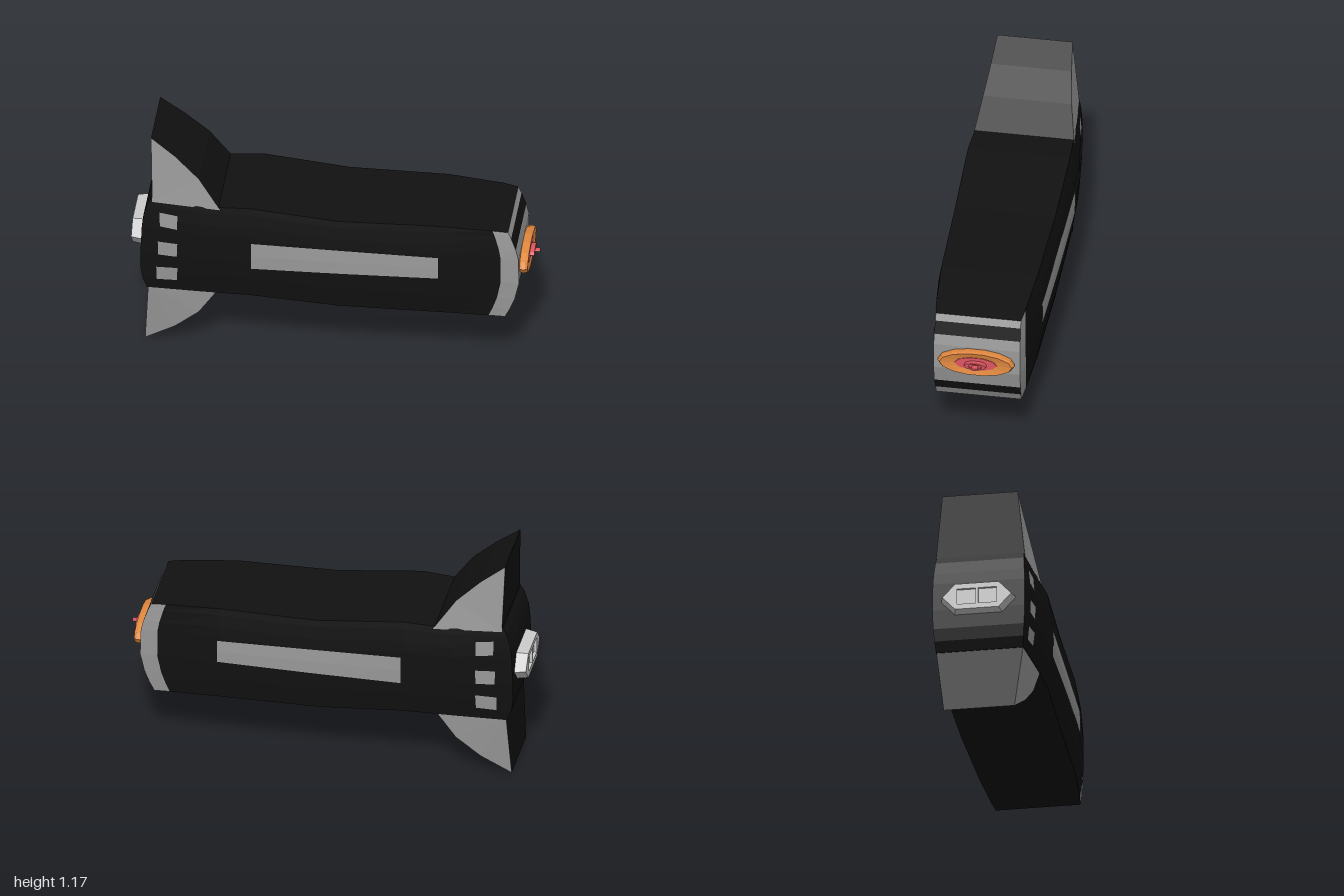
import * as THREE from 'three';

const mat = (color) => new THREE.MeshStandardMaterial({ color, flatShading: true });
const BLACK = mat(0x111111), GREY = mat(0x999999), LIGHT = mat(0xcccccc);
const ORANGE = mat(0xe0883f), RED = mat(0xdc5560);

// Collects quads and triangles into one flat-shaded mesh
class Faces {
  constructor() { this.p = []; }
  tri(a, b, c) { this.p.push(...a, ...b, ...c); }
  quad(a, b, c, d) { this.tri(a, b, c); this.tri(a, c, d); }
  // A panel on the +z side together with its mirror on the -z side
  sides(a, b, c, d) {
    this.quad(a, b, c, d);
    this.quad(...[d, c, b, a].map(flip));
  }
  // The strip joining both sides along the edge p-q
  rim(p, q) { this.quad(p, flip(p), flip(q), q); }
  mesh(name, material) {
    const g = new THREE.BufferGeometry();
    g.setAttribute('position', new THREE.Float32BufferAttribute(this.p, 3));
    g.computeVertexNormals();
    const m = new THREE.Mesh(g, material);
    m.name = name;
    return m;
  }
}
const flip = ([x, y, z]) => [x, y, -z];
const lerp = THREE.MathUtils.lerp;

// Hull stations: bottom x/y, top x/y, end bulge and its power, half width, side bow
const station = (xb, yb, xt, yt, bulge, pow, w, bow) => ({ xb, yb, xt, yt, bulge, pow, w, bow });
const STATIONS = [
  station(-0.915, 0.32, -0.895, 0.84, -0.04, 4, 0.23, 0.06),
  station(-0.65, 0.33, -0.65, 0.823, 0, 2, 0.265, 0.09),
  station(-0.4, 0.335, -0.4, 0.838, 0, 2, 0.278, 0.09),
  station(0.03, 0.305, 0.03, 0.795, 0, 2, 0.273, 0.09),
  station(0.52, 0.30, 0.52, 0.798, 0, 2, 0.262, 0.09),
  station(0.77, 0.288, 0.79, 0.78, 0.055, 2, 0.23, 0.04),
  station(0.85, 0.28, 0.865, 0.77, 0.066, 2, 0.215, 0.02),
];
const ROWS = [0, 0.1, 0.22, 0.41, 0.69, 0.8, 0.93, 1];

function hullPoint(s, v) {
  const e = Math.abs(2 * v - 1);
  return [
    lerp(s.xb, s.xt, v) + s.bulge * (1 - e ** s.pow),
    lerp(s.yb, s.yt, v),
    s.w * (1 - s.bow * e * e),
  ];
}

// Half width of the hull at a given x and y
function hullZ(x, y) {
  let v = 0.5, z = 0;
  for (let k = 0; k < 3; k++) {
    const col = STATIONS.map((s) => hullPoint(s, v));
    let i = 0;
    while (i < col.length - 2 && col[i + 1][0] < x) i++;
    const t = (x - col[i][0]) / (col[i + 1][0] - col[i][0]);
    z = lerp(col[i][2], col[i + 1][2], t);
    const yb = lerp(STATIONS[i].yb, STATIONS[i + 1].yb, t);
    const yt = lerp(STATIONS[i].yt, STATIONS[i + 1].yt, t);
    v = (y - yb) / (yt - yb);
  }
  return z;
}

function addHull(group) {
  const grid = STATIONS.map((s) => ROWS.map((v) => hullPoint(s, v)));
  const black = new Faces(), cheeks = new Faces(), bands = new Faces();
  const n = STATIONS.length - 1, m = ROWS.length - 1;
  for (let i = 0; i < n; i++) {
    const side = i === n - 1 ? cheeks : black;
    for (let j = 0; j < m; j++) side.sides(grid[i][j], grid[i + 1][j], grid[i + 1][j + 1], grid[i][j + 1]);
    black.rim(grid[i][0], grid[i + 1][0]);
    black.rim(grid[i + 1][m], grid[i][m]);
  }
  // Striped nose and plain tail
  for (let j = 0; j < m; j++) {
    (j === 1 || j === 5 ? black : bands).rim(grid[n][j], grid[n][j + 1]);
    black.rim(grid[0][j + 1], grid[0][j]);
  }
  group.add(black.mesh('hull', BLACK), cheeks.mesh('noseSides', GREY), bands.mesh('noseBands', GREY));
}

// Thin panel laid on both hull sides; corners ccw from lower rear
function addPanel(group, name, [a, b, c, d], nx, ny) {
  const f = new Faces();
  const at = (u, v) => {
    const x = lerp(lerp(a[0], b[0], u), lerp(d[0], c[0], u), v);
    const y = lerp(lerp(a[1], b[1], u), lerp(d[1], c[1], u), v);
    return [x, y, hullZ(x, y) + 0.003];
  };
  for (let i = 0; i < nx; i++) {
    for (let j = 0; j < ny; j++) {
      const [u, v, s, t] = [i / nx, j / ny, (i + 1) / nx, (j + 1) / ny];
      f.sides(at(u, v), at(s, v), at(s, t), at(u, t));
    }
  }
  group.add(f.mesh(name, GREY));
}

// Broad fin: grey sides fanned from the rear root, black edges
function addFin(group, name, pts) {
  const side = new Faces(), edge = new Faces();
  pts.forEach((p, i) => {
    const q = pts[(i + 1) % pts.length];
    edge.rim(p, q);
    if (i > 0 && i < pts.length - 1) {
      side.tri(pts[0], p, q);
      side.tri(flip(pts[0]), flip(q), flip(p));
    }
  });
  const fin = new THREE.Group();
  fin.name = name;
  fin.add(side.mesh(name + 'Sides', GREY), edge.mesh(name + 'Edges', BLACK));
  group.add(fin);
}

// Flattened turned part along the x axis; profile is [radius, x]
function addTurned(group, name, profile, segments, material) {
  const g = new THREE.LatheGeometry(profile.map(([r, x]) => new THREE.Vector2(r, x)), segments);
  g.rotateZ(-Math.PI / 2).scale(1, 0.36, 1);
  const mesh = new THREE.Mesh(g, material);
  mesh.name = name;
  mesh.position.y = 0.546;
  group.add(mesh);
}

// Hexagonal tail nozzle with two recessed openings
function addNozzle(group) {
  const poly = (pts) => pts.map(([x, y]) => new THREE.Vector2(x, y));
  const shape = new THREE.Shape(poly([[0.19, 0], [0.12, 0.075], [-0.12, 0.075], [-0.19, 0], [-0.12, -0.075], [0.12, -0.075]]));
  for (const c of [-0.058, 0.058]) {
    shape.holes.push(new THREE.Path(poly([[c - 0.05, -0.045], [c - 0.05, 0.045], [c + 0.05, 0.045], [c + 0.05, -0.045]])));
  }
  const g = new THREE.ExtrudeGeometry(shape, { depth: 0.07, bevelEnabled: false });
  // Taper towards the rear
  const p = g.attributes.position;
  for (let i = 0; i < p.count; i++) {
    const k = 1 - 1.4 * p.getZ(i);
    p.setXY(i, p.getX(i) * k, p.getY(i) * k);
  }
  g.rotateY(-Math.PI / 2);
  const nozzle = new THREE.Mesh(g, LIGHT);
  nozzle.name = 'tailNozzle';
  nozzle.position.set(-0.93, 0.577, 0);
  const plate = new THREE.Mesh(new THREE.BoxGeometry(0.04, 0.11, 0.23), LIGHT);
  plate.name = 'nozzlePlate';
  plate.position.set(-0.965, 0.577, 0);
  group.add(nozzle, plate);
}

export function createModel() {
  const model = new THREE.Group();
  model.name = 'rocketShip';
  addHull(model);

  // Side stripe and three windows
  addPanel(model, 'sideStripe', [[-0.395, 0.505], [0.525, 0.51], [0.525, 0.628], [-0.395, 0.65]], 8, 2);
  [[0.388, 0.455], [0.53, 0.605], [0.685, 0.768]].forEach(([y0, y1], i) => {
    const lean = (i - 1) * 0.008;
    addPanel(model, 'window' + (i + 1),
      [[-0.858 + lean, y0 + lean], [-0.765, y0], [-0.762, y1 - lean], [-0.86 + lean, y1]], 1, 1);
  });

  addFin(model, 'upperFin', [[-0.89, 0.82, 0.222], [-0.55, 0.815, 0.25], [-0.66, 0.97, 0.22], [-0.78, 1.08, 0.2], [-0.9, 1.17, 0.187]]);
  addFin(model, 'lowerFin', [[-0.91, 0.335, 0.217], [-0.93, 0, 0.176], [-0.78, 0.095, 0.205], [-0.66, 0.2, 0.226], [-0.57, 0.335, 0.243]]);

  // Nose disc, its inner plate and the stepped tip
  addTurned(model, 'noseDisc', [[0.17, 0.9], [0.19, 0.925], [0.19, 0.945], [0.18, 0.958], [0.1, 0.95]], 14, ORANGE);
  addTurned(model, 'nosePlate', [[0.108, 0.94], [0.105, 0.953], [0.055, 0.953], [0.055, 0.976], [0.035, 0.976],
    [0.035, 0.97], [0.016, 0.97], [0.016, 1], [0, 1]], 10, RED);

  addNozzle(model);
  return model;
}
